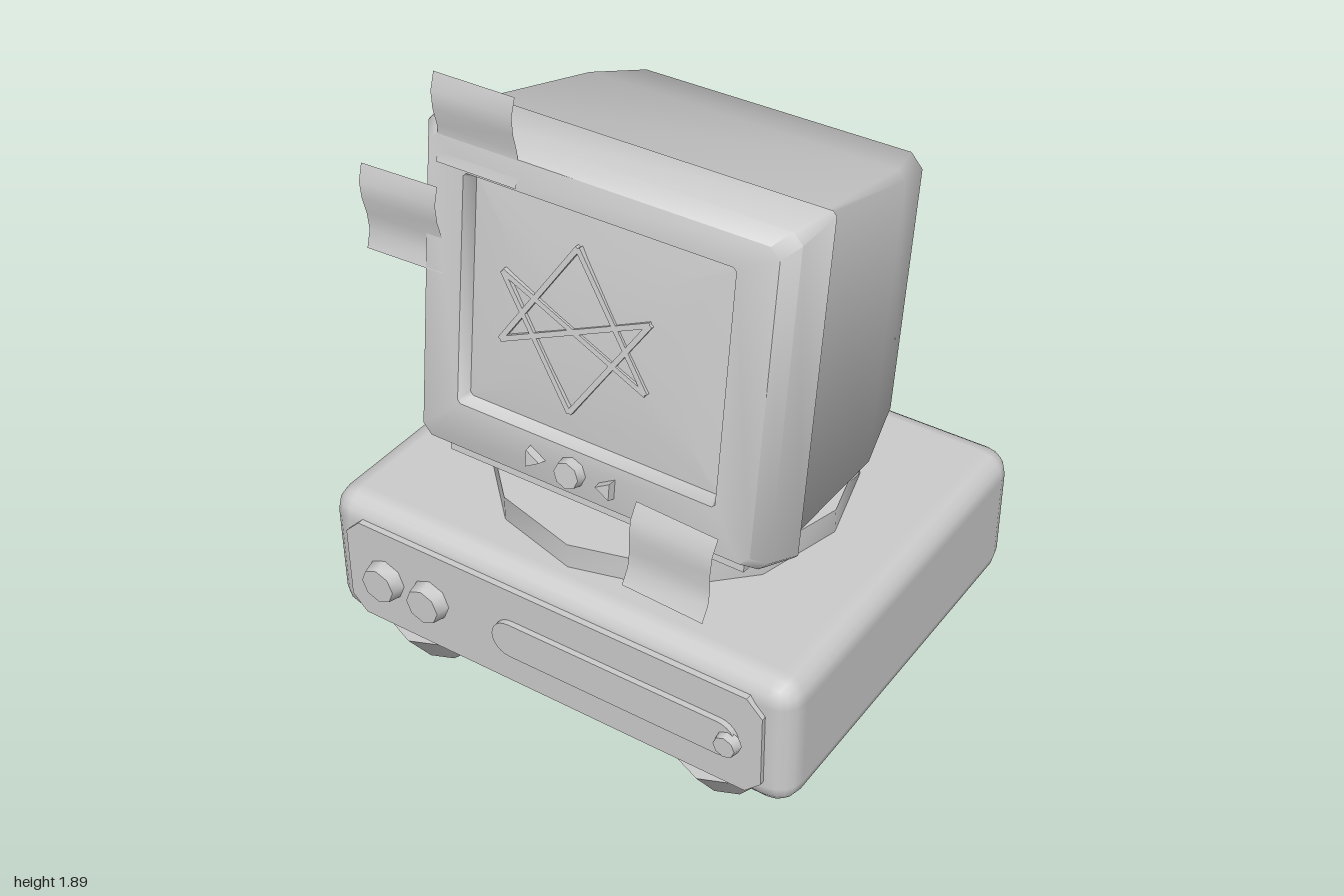
import * as THREE from 'three';
import { toCreasedNormals } from 'three/addons/utils/BufferGeometryUtils.js';
import { RoundedBoxGeometry } from 'three/addons/geometries/RoundedBoxGeometry.js';

const grey = new THREE.MeshStandardMaterial({ color: 0xcccccc });
const paper = new THREE.MeshStandardMaterial({ color: 0xcccccc, side: THREE.DoubleSide });

function add(parent, name, geometry, x = 0, y = 0, z = 0, material = grey) {
  const mesh = new THREE.Mesh(geometry, material);
  mesh.name = name;
  mesh.position.set(x, y, z);
  parent.add(mesh);
  return mesh;
}

// Skin over rectangular sections [z, halfWidth, bottom, top, cornerCut], back to front, capped
function loft(sections, crease) {
  const pos = [], index = [], n = 8;
  for (const [z, w, b, t, c] of sections) {
    for (const [x, y] of [[w, b + c], [w, t - c], [w - c, t], [c - w, t],
      [-w, t - c], [-w, b + c], [c - w, b], [w - c, b]]) pos.push(x, y, z);
  }
  for (let r = 0; r < sections.length - 1; r++) {
    for (let i = 0; i < n; i++) {
      const a = r * n + i, d = r * n + (i + 1) % n;
      index.push(a, d, d + n, a, d + n, a + n);
    }
  }
  const last = (sections.length - 1) * n;
  for (let i = 1; i < n - 1; i++) {
    index.push(0, i + 1, i);
    index.push(last, last + i, last + i + 1);
  }
  const g = new THREE.BufferGeometry();
  g.setAttribute('position', new THREE.Float32BufferAttribute(pos, 3));
  g.setIndex(index);
  return toCreasedNormals(g, crease);
}

// Cylinder whose axis points to the front
function knob(radius, depth, sides) {
  return toCreasedNormals(
    new THREE.CylinderGeometry(radius * 0.85, radius, depth, sides).rotateX(Math.PI / 2), 0.9);
}

// Flat plate with cut or rounded corners, extruded to the front
function plate(w, h, cut, depth, round) {
  const s = new THREE.Shape();
  const x = w / 2, y = h / 2;
  if (round) {
    s.absarc(x - y, 0, y, -Math.PI / 2, Math.PI / 2);
    s.absarc(y - x, 0, y, Math.PI / 2, Math.PI * 1.5);
  } else {
    s.setFromPoints([[x, cut - y], [x, y - cut], [x - cut, y], [cut - x, y],
      [-x, y - cut], [-x, cut - y], [cut - x, -y], [x - cut, -y]]
      .map(([a, b]) => new THREE.Vector2(a, b)));
  }
  return new THREE.ExtrudeGeometry(s, { depth, bevelEnabled: false, curveSegments: 6 });
}

function buildBase(parent) {
  const base = new THREE.Group();
  base.name = 'base';
  parent.add(base);
  add(base, 'baseBox', new RoundedBoxGeometry(1.59, 0.45, 1.3, 2, 0.08), 0, 0.345, 0);
  add(base, 'frontPanel', plate(1.43, 0.34, 0.05, 0.025), 0, 0.34, 0.64);
  add(base, 'slot', plate(0.82, 0.12, 0, 0.02, true), 0.235, 0.34, 0.663);
  add(base, 'slotButton', knob(0.04, 0.03, 8), 0.62, 0.34, 0.69);
  for (const x of [-0.575, -0.41]) add(base, 'dial', knob(0.067, 0.045, 8), x, 0.34, 0.685);
  // Tapered feet
  const footShape = toCreasedNormals(new THREE.CylinderGeometry(0.19, 0.095, 0.13, 8), 0.9);
  for (const x of [-0.51, 0.51]) {
    for (const z of [-0.477, 0.477]) add(base, 'foot', footShape, x, 0.065, z);
  }
  add(base, 'turntable', toCreasedNormals(new THREE.CylinderGeometry(0.545, 0.545, 0.09, 12), 0.7),
    0, 0.605, 0);
  add(base, 'neck', new THREE.BoxGeometry(0.9, 0.08, 0.42), 0, 0.67, 0);
}

function buildMonitor(parent) {
  const monitor = new THREE.Group();
  monitor.name = 'monitor';
  monitor.position.y = 0.7;
  monitor.rotation.x = -0.125;
  parent.add(monitor);

  add(monitor, 'bottomPlate', new THREE.BoxGeometry(1.0, 0.07, 0.64), 0, -0.02, 0.1);
  // Rear housing narrowing to the back
  add(monitor, 'rearHousing', loft([
    [-0.445, 0.46, 0.08, 0.87, 0.04],
    [-0.41, 0.485, 0.04, 0.89, 0.04],
    [-0.206, 0.533, -0.015, 0.925, 0.025],
    [0.275, 0.55, -0.02, 0.98, 0.008],
  ], 1.15), 0, 0, 0);
  add(monitor, 'seam', new THREE.BoxGeometry(1.06, 0.95, 0.1), 0, 0.48, 0.29);
  // Bezel, recess and bulged screen
  add(monitor, 'bezelAndScreen', loft([
    [0.305, 0.6, -0.03, 1.01, 0.012],
    [0.44, 0.585, -0.01, 0.99, 0.03],
    [0.485, 0.55, 0.015, 0.955, 0.03],
    [0.485, 0.43, 0.155, 0.865, 0.01],
    [0.445, 0.415, 0.17, 0.85, 0.01],
    [0.46, 0.27, 0.28, 0.73, 0.06],
    [0.465, 0.12, 0.42, 0.6, 0.04],
  ], 0.85), 0, 0, 0);

  // Six-pointed line pattern in relief on the screen
  const star = new THREE.Group();
  star.name = 'starPattern';
  star.position.set(-0.06, 0.505, 0.46);
  monitor.add(star);
  const lines = [[0, 0.25, 0.24, -0.105], [0, -0.25, 0.24, 0.105], [-0.24, -0.105, 0.24, 0.105]];
  for (const [x1, y1, x2, y2] of lines) {
    for (const m of [1, -1]) {
      const bar = add(star, 'starLine',
        new THREE.BoxGeometry(Math.hypot(x2 - x1, y2 - y1), 0.016, 0.025),
        m * (x1 + x2) / 2, (y1 + y2) / 2, 0);
      bar.rotation.z = m * Math.atan2(y2 - y1, x2 - x1);
    }
  }

  // Buttons under the screen
  add(monitor, 'roundButton', knob(0.048, 0.04, 8), -0.03, 0.085, 0.495);
  for (const m of [-1, 1]) {
    const arrow = add(monitor, 'arrowButton', knob(0.036, 0.03, 3), -0.03 + m * 0.125, 0.085, 0.495);
    arrow.rotation.z = -m * Math.PI / 2;
  }

  // Bent paper notes: [x, y, z, roll, lean, bend]
  for (const [x, y, z, roll, lean, bend] of [
    [-0.385, 1.005, 0.5, 0.0, 0.0, 0.02],
    [-0.63, 0.67, 0.495, 0.03, 0.0, 0.02],
    [0.325, -0.045, 0.52, -0.04, -0.17, 0.02],
  ]) {
    const g = new THREE.PlaneGeometry(0.265, 0.265, 1, 5);
    const p = g.attributes.position;
    for (let i = 0; i < p.count; i++) p.setZ(i, bend * Math.sin(p.getY(i) * 20));
    g.computeVertexNormals();
    add(monitor, 'paperNote', g, x, y, z, paper).rotation.set(lean, 0, roll);
  }
}

export function createModel() {
  const model = new THREE.Group();
  model.name = 'desktopTerminal';
  const turned = new THREE.Group();
  turned.name = 'turnedBody';
  turned.rotation.y = -0.707;
  model.add(turned);
  buildBase(turned);
  buildMonitor(turned);
  return model;
}
